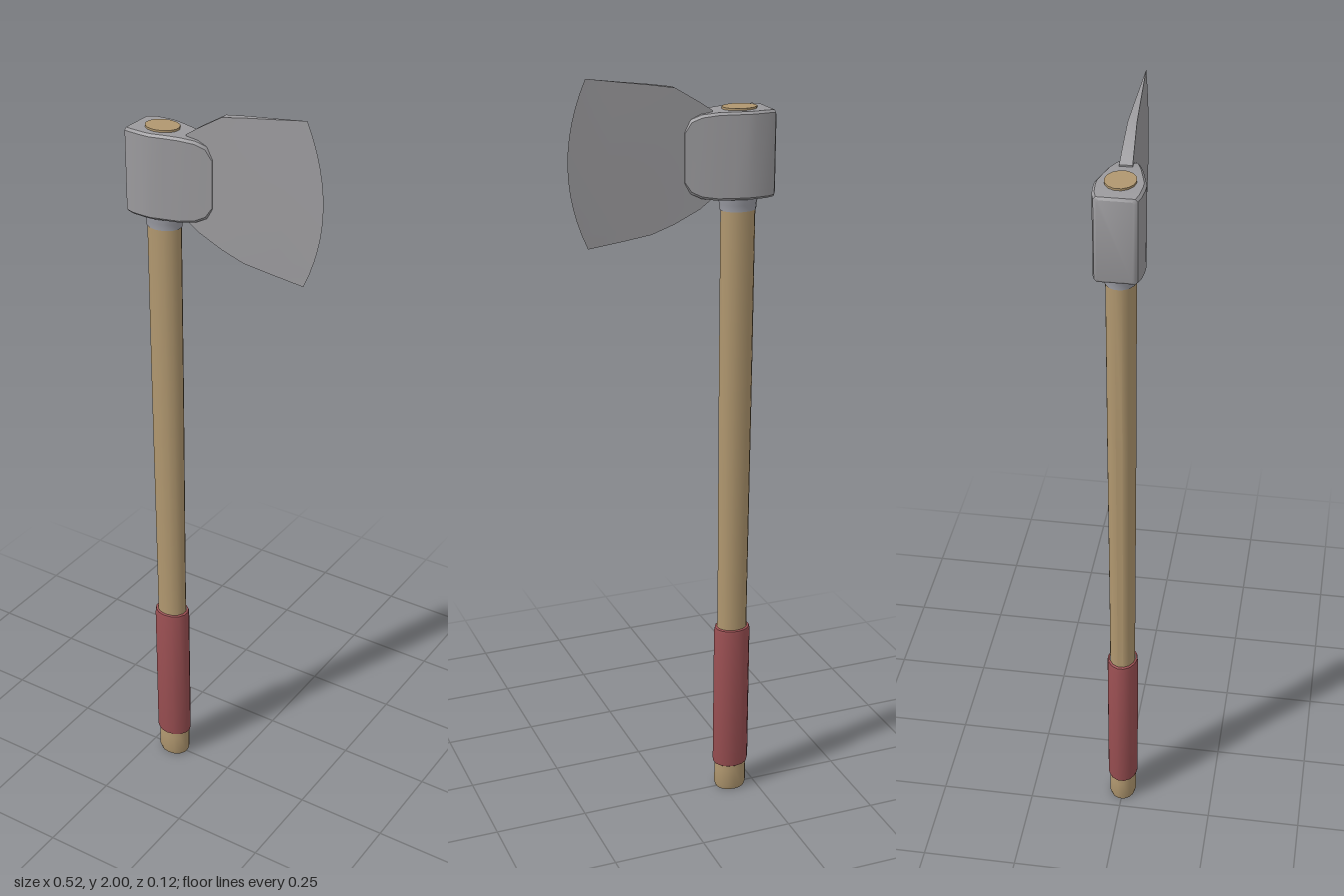
import * as THREE from 'three';
import { toCreasedNormals } from 'three/addons/utils/BufferGeometryUtils.js';

const AXIS_X = -0.182;
const wood = new THREE.MeshStandardMaterial({ color: 0xb0976f });
const wrap = new THREE.MeshStandardMaterial({ color: 0x9a4f52 });
const steel = new THREE.MeshStandardMaterial({ color: 0x9b9a9d });
const collarSteel = new THREE.MeshStandardMaterial({ color: 0x9c9da5 });
wood.name = 'wood';
wrap.name = 'redWrap';
steel.name = 'steel';
collarSteel.name = 'collarSteel';

function addMesh(group, name, geometry, material, crease) {
  const mesh = new THREE.Mesh(toCreasedNormals(geometry, crease), material);
  mesh.name = name;
  group.add(mesh);
  return mesh;
}

// Turned part with an oval section; profile is [radius, y] from bottom to top
function oval(group, name, profile, material) {
  const points = profile.map(([r, y]) => new THREE.Vector2(r, y));
  const mesh = addMesh(group, name, new THREE.LatheGeometry(points, 14), material, 0.6);
  mesh.scale.z = 0.82;
  mesh.position.x = AXIS_X;
}

// Skin closed loops of [x, y, z] that follow each other along +x
function loft(sections) {
  const n = sections[0].length;
  const index = [];
  for (let s = 0; s < sections.length - 1; s++) {
    for (let i = 0; i < n; i++) {
      const j = (i + 1) % n;
      const a = s * n + i, b = a + n, c = (s + 1) * n + j, d = s * n + j;
      index.push(a, b, c, a, c, d);
    }
  }
  const end = (sections.length - 1) * n;
  for (let i = 1; i < n - 1; i++) {
    index.push(0, i, i + 1, end, end + i + 1, end + i);
  }
  const geometry = new THREE.BufferGeometry();
  geometry.setAttribute('position', new THREE.Float32BufferAttribute(sections.flat(2), 3));
  geometry.setIndex(index);
  return geometry;
}

export function createModel() {
  const axe = new THREE.Group();
  axe.name = 'axe';

  // Shaft, its end showing through the eye of the head
  oval(axe, 'handle', [
    [0, 0], [0.041, 0], [0.045, 0.012], [0.045, 0.06], [0.042, 0.09],
    [0.041, 0.6], [0.044, 1.2], [0.045, 1.7], [0.045, 1.911], [0, 1.911],
  ], wood);

  oval(axe, 'grip', [
    [0.043, 0.075], [0.048, 0.078], [0.05, 0.088], [0.05, 0.488], [0.048, 0.498], [0.042, 0.5],
  ], wrap);

  oval(axe, 'collar', [
    [0.042, 1.655], [0.047, 1.656], [0.048, 1.672], [0.052, 1.685], [0.052, 1.7],
  ], collarSteel);

  // Head: [x, half thickness, bottom, top], eight-sided sections with small chamfers
  const head = [
    [-0.262, 0.043, 1.697, 1.898],
    [-0.257, 0.050, 1.691, 1.904],
    [-0.238, 0.056, 1.69, 1.906],
    [-0.205, 0.059, 1.69, 1.906],
    [-0.182, 0.059, 1.69, 1.906],
    [-0.15, 0.051, 1.69, 1.906],
    [-0.112, 0.041, 1.69, 1.905],
    [-0.075, 0.029, 1.695, 1.9],
    [-0.05, 0.02, 1.707, 1.889],
    [-0.034, 0.0145, 1.732, 1.862],
  ].map(([x, h, bottom, top]) => {
    const c = 0.006;
    return [
      [x, bottom, h - c], [x, bottom + c, h], [x, top - c, h], [x, top, h - c],
      [x, top, c - h], [x, top - c, -h], [x, bottom + c, -h], [x, bottom, c - h],
    ];
  });
  addMesh(axe, 'head', loft(head), steel, 0.5);

  // Blade: [x, bottom, top]; columns bow outwards and thin towards the cutting edge
  const rows = 12;
  const blade = [
    [-0.105, 1.69, 1.908],
    [-0.075, 1.667, 1.928],
    [-0.01, 1.635, 1.967],
    [0.05, 1.613, 1.977],
    [0.13, 1.601, 1.988],
    [0.212, 1.59, 2.0],
  ].map(([x, bottom, top]) => {
    const u = (x + 0.105) / 0.317;
    const h = 0.0155 * (1 - u);
    const front = [];
    for (let i = 0; i <= rows; i++) {
      const v = (2 * i) / rows - 1;
      const y = THREE.MathUtils.lerp(bottom, top, i / rows);
      front.push([x + 0.048 * u * u * (1 - v * v), y, h]);
    }
    return [...front, ...front.map(([px, py, pz]) => [px, py, -pz]).reverse()];
  });
  addMesh(axe, 'blade', loft(blade), steel, 0.4);

  return axe;
}
